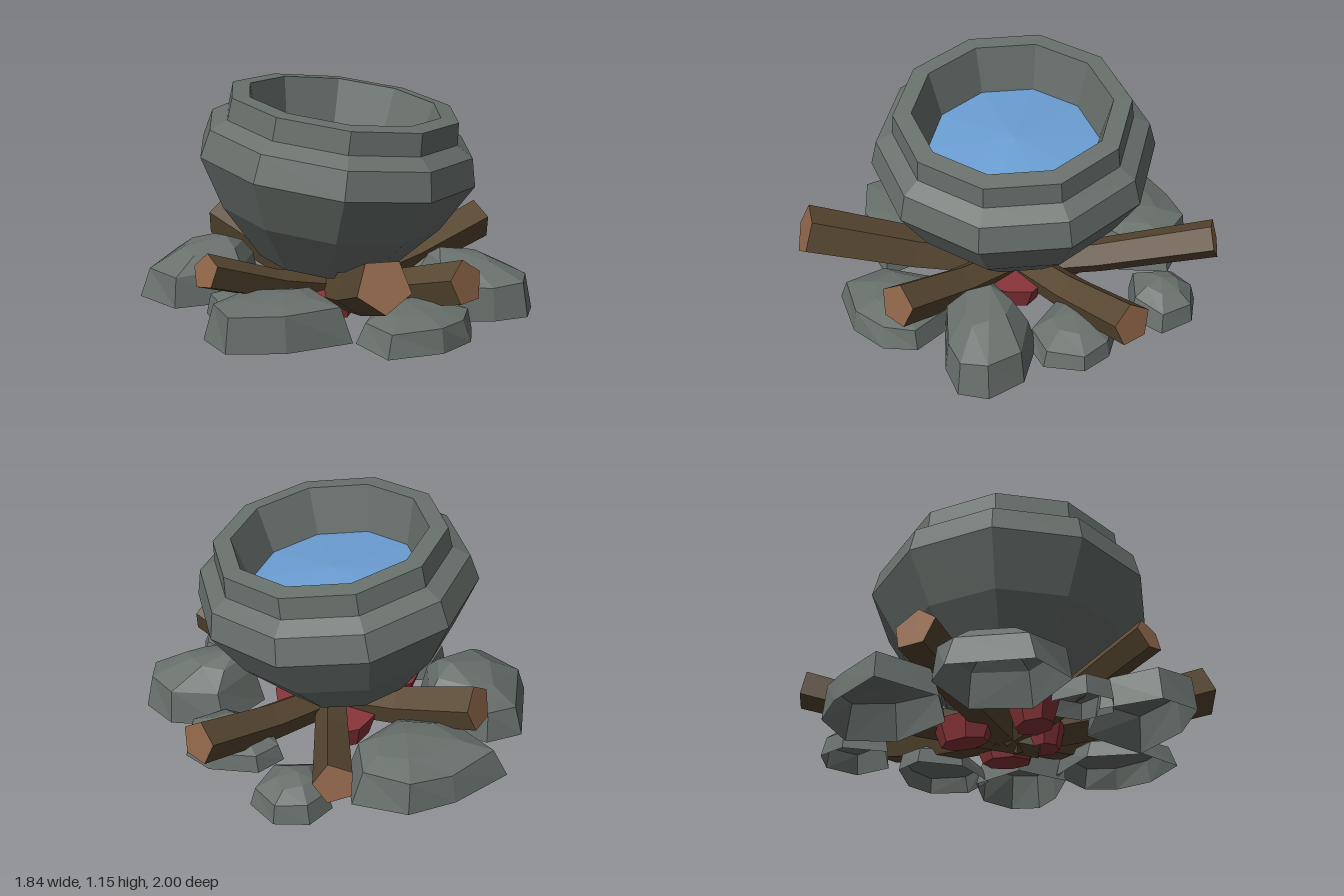
import * as THREE from 'three';

const mat = (name, color, side = THREE.FrontSide) => {
  const m = new THREE.MeshStandardMaterial({ color, side });
  m.name = name;
  return m;
};

// Unshared vertices give faceted shading
function faceted(geo) {
  const g = geo.index ? geo.toNonIndexed() : geo;
  g.computeVertexNormals();
  return g;
}

// Shell through equal rings of points, open at the foot, fanned to a top point
function shell(rings, top) {
  const out = [];
  const tri = (...pts) => pts.forEach((p) => out.push(...p));
  const n = rings[0].length;
  for (let i = 0; i < n; i++) {
    const j = (i + 1) % n;
    for (let k = 0; k < rings.length - 1; k++) {
      const a = rings[k][i], b = rings[k][j], c = rings[k + 1][j], d = rings[k + 1][i];
      tri(a, d, c);
      tri(a, c, b);
    }
    tri(top, rings[rings.length - 1][j], rings[rings.length - 1][i]);
  }
  const g = new THREE.BufferGeometry();
  g.setAttribute('position', new THREE.Float32BufferAttribute(out, 3));
  g.computeVertexNormals();
  return g;
}

function randomiser(seed) {
  let s = seed;
  return () => (s = (s * 16807) % 2147483647) / 2147483647;
}

// Hollow rock with a level foot: outline [x, z], foot height, shoulder height, peak
function rockGeometry(outline, foot, shoulder, peak, seed) {
  const rnd = randomiser(seed * 7919 + 13);
  const n = outline.length;
  const cx = outline.reduce((s, p) => s + p[0], 0) / n;
  const cz = outline.reduce((s, p) => s + p[1], 0) / n;
  const pts = [...outline].sort((a, b) =>
    Math.atan2(a[1] - cz, a[0] - cx) - Math.atan2(b[1] - cz, b[0] - cx));
  const ring = (scale, y, wobble) => pts.map(([x, z]) => {
    const k = scale + (rnd() - 0.5) * wobble;
    return [cx + (x - cx) * k, y + (rnd() - 0.5) * wobble * 0.3, cz + (z - cz) * k];
  });
  const mid = ring(0.88, shoulder, 0.12);
  const cap = mid.map((p) => {
    const t = 0.35 + rnd() * 0.15;
    return p.map((v, i) => v + (peak[i] - v) * (i === 1 ? t + 0.25 : t));
  });
  return shell([ring(1, foot, 0), mid, cap], peak);
}

// Five-sided log from the fire centre to its outer end, with a slight sag
function logGeometry(from, to, r, roll) {
  const a = new THREE.Vector3(...from), b = new THREE.Vector3(...to);
  const dir = b.clone().sub(a);
  const len = dir.length();
  dir.normalize();
  const g = new THREE.CylinderGeometry(r, r * 0.8, len, 5, 2);
  g.rotateY(roll);
  const p = g.attributes.position;
  for (let i = 0; i < p.count; i++) {
    if (Math.abs(p.getY(i)) < 0.01) p.setZ(i, p.getZ(i) - 0.02);
  }
  const up = new THREE.Vector3(0, 1, 0).addScaledVector(dir, -dir.y).normalize();
  const side = new THREE.Vector3().crossVectors(dir, up);
  const m = new THREE.Matrix4().makeBasis(side, dir, up);
  m.setPosition(a.add(b).multiplyScalar(0.5));
  g.applyMatrix4(m);
  return faceted(g);
}

export function createModel() {
  const model = new THREE.Group();
  model.name = 'cauldronOnFire';
  const stone = mat('stoneGrey', 0x69716d, THREE.DoubleSide);
  const bark = mat('barkBrown', 0x594832);
  const cut = mat('cutWood', 0x8e6448);
  const ember = mat('emberRed', 0x8a3539);
  const blue = mat('waterBlue', 0x6a9dd2);

  const add = (parent, name, geo, material) => {
    const mesh = new THREE.Mesh(geo, material);
    mesh.name = name;
    parent.add(mesh);
  };

  // Tilted ten-sided pot, outside wall then rim then inside wall
  const cauldron = new THREE.Group();
  cauldron.name = 'cauldron';
  const profile = [
    [0, -0.52], [0.34, -0.5], [0.56, -0.25], [0.7, 0], [0.667, 0.137], [0.585, 0.187],
    [0.575, 0.297], [0.485, 0.305], [0.42, 0.06], [0.38, 0],
  ].map(([x, y]) => new THREE.Vector2(x, y));
  add(cauldron, 'pot', faceted(new THREE.LatheGeometry(profile, 10)), stone);
  const surface = [[0.423, 0.065], [0, 0.11]].map(([x, y]) => new THREE.Vector2(x, y));
  add(cauldron, 'water', faceted(new THREE.LatheGeometry(surface, 10)), blue);
  cauldron.position.set(-0.024, 0.78, 0);
  cauldron.quaternion.setFromUnitVectors(
    new THREE.Vector3(0, 1, 0), new THREE.Vector3(0.085, 1, 0.095).normalize());
  model.add(cauldron);

  // Logs leaning in to the middle: inner end, outer end, radius, roll
  const logs = new THREE.Group();
  logs.name = 'logs';
  [
    [[0, 0.12, 0.02], [-0.17, 0.35, -0.79], 0.115, 0],
    [[-0.12, 0.075, 0.12], [0.74, 0.365, -0.665], 0.1, 0.3],
    [[0, 0.12, 0], [0.9, 0.32, 0.055], 0.108, 0],
    [[0, 0.12, 0], [0.085, 0.335, 0.825], 0.11, 0],
    [[-0.02, 0.11, 0], [-0.515, 0.48, 0.93], 0.128, 0.63],
    [[0, 0.1, 0], [-0.85, 0.385, 0.05], 0.088, 0.2],
  ].forEach((l) => add(logs, 'log', logGeometry(...l), [bark, cut, cut]));
  model.add(logs);

  // Glowing coals under the pot: centre, size, turn
  const coals = new THREE.Group();
  coals.name = 'coals';
  [
    [0.12, 0.13, 0.34, 0.25, 0.5], [-0.3, -0.13, 0.33, 0.24, -0.4],
    [0.09, -0.2, 0.36, 0.22, 0.15], [-0.14, 0.12, 0.24, 0.2, -0.7],
  ].forEach(([x, z, w, d, turn]) => {
    const g = new THREE.CylinderGeometry(0.5, 0.36, 0.12, 7);
    g.scale(w, 1, d);
    g.rotateY(turn);
    g.translate(x, 0.092, z);
    add(coals, 'coal', faceted(g), ember);
  });
  model.add(coals);

  // Ring of rocks: outline, foot height, shoulder height, peak
  const rocks = new THREE.Group();
  rocks.name = 'rocks';
  [
    [[[-0.15, -1], [0.18, -0.94], [0.4, -0.83], [0.52, -0.58], [0.35, -0.4], [0, -0.42], [-0.2, -0.65]],
      0.055, 0.215, [0.15, 0.28, -0.6]],
    [[[-0.78, -0.65], [-0.45, -0.87], [-0.28, -0.78], [-0.18, -0.45], [-0.4, -0.25], [-0.75, -0.38]],
      0.06, 0.22, [-0.38, 0.35, -0.46]],
    [[[-0.92, 0.3], [-0.89, 0.08], [-0.6, -0.02], [-0.34, 0.2], [-0.38, 0.56], [-0.7, 0.47]],
      0.07, 0.24, [-0.55, 0.27, 0.25]],
    [[[-0.4, 0.83], [-0.15, 0.93], [0.05, 0.9], [0.17, 0.78], [0.14, 0.52], [-0.15, 0.42], [-0.38, 0.58]],
      0.075, 0.18, [-0.1, 0.23, 0.62]],
    [[[0.13, 0.58], [0.35, 0.75], [0.52, 0.81], [0.64, 0.72], [0.66, 0.52], [0.5, 0.3], [0.2, 0.3]],
      0.06, 0.24, [0.29, 0.37, 0.42]],
    [[[0.66, -0.1], [0.8, 0.1], [0.8, 0.26], [0.65, 0.39], [0.45, 0.34], [0.38, 0.08], [0.5, -0.12]],
      0.07, 0.16, [0.57, 0.22, 0.13]],
    [[[0.6, -0.53], [0.76, -0.53], [0.87, -0.4], [0.84, -0.22], [0.65, -0.18], [0.48, -0.34]],
      0.055, 0.16, [0.67, 0.23, -0.37]],
    [[[-0.72, -0.06], [-0.68, -0.2], [-0.5, -0.24], [-0.38, -0.12], [-0.45, 0.03], [-0.62, 0.06]],
      0.07, 0.16, [-0.55, 0.2, -0.08]],
  ].forEach((r, i) => add(rocks, 'rock', rockGeometry(...r, i + 1), stone));
  model.add(rocks);

  return model;
}
